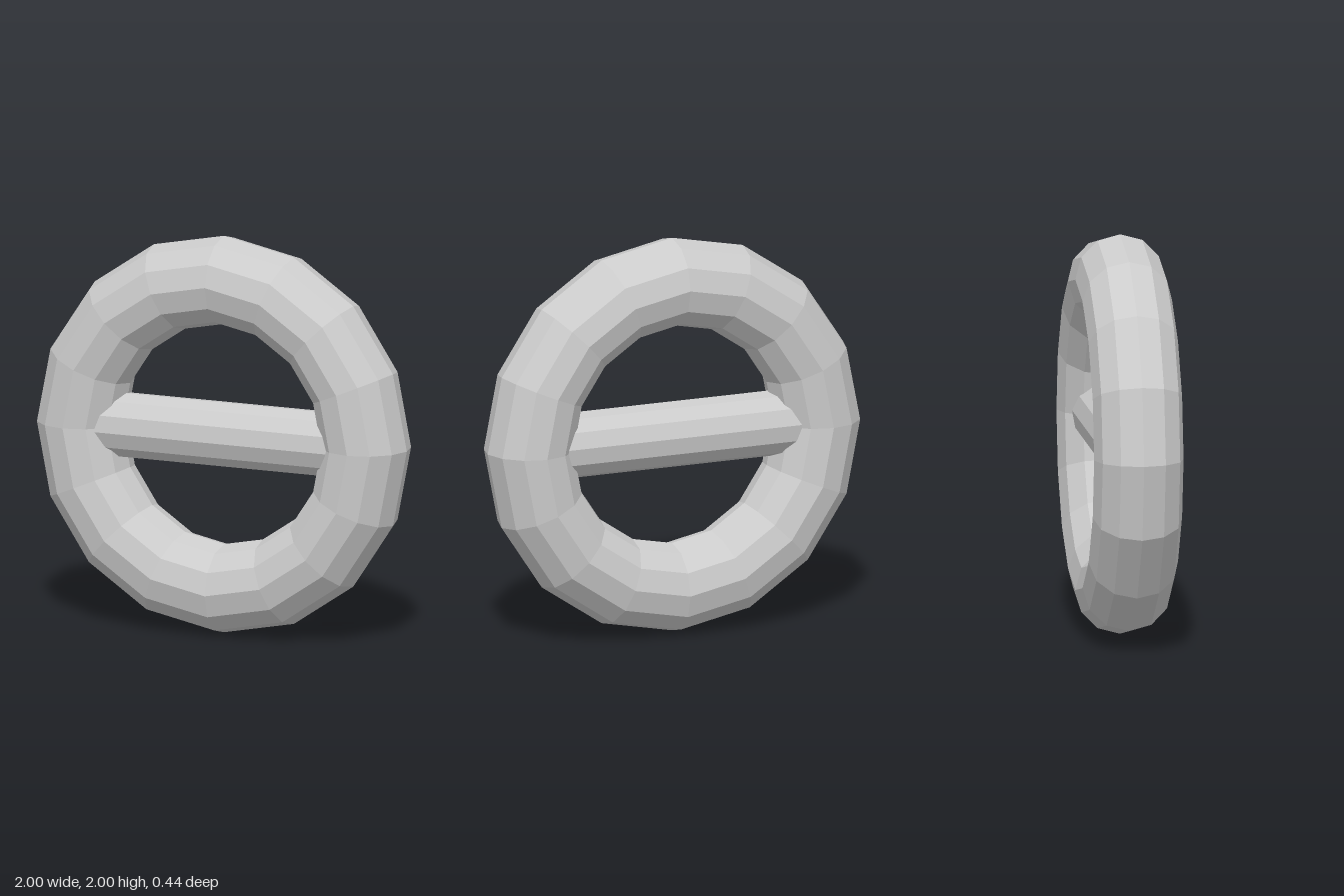
import * as THREE from 'three';

const RING = 0.7775; // ring centre-line radius
const TUBE = 0.2225; // ring tube radius
const BAR = 0.163; // crossbar radius

export function createModel() {
  const group = new THREE.Group();
  const material = new THREE.MeshStandardMaterial({ color: 0xcccccc, flatShading: true });

  // Upright ring
  const ring = new THREE.Mesh(new THREE.TorusGeometry(RING, TUBE, 12, 16), material);
  ring.name = 'ring';
  ring.position.y = 1;
  group.add(ring);

  // Horizontal twelve-sided crossbar, turned slightly about its own axis
  const barGeometry = new THREE.CylinderGeometry(BAR, BAR, 1, 12, 1, true, THREE.MathUtils.degToRad(-6));
  barGeometry.rotateZ(Math.PI / 2);

  // Trim each end to the inner curve of the ring, sunk just below its surface
  const p = barGeometry.attributes.position;
  for (let i = 0; i < p.count; i++) {
    const y = p.getY(i), z = p.getZ(i);
    const inner = RING - Math.sqrt(TUBE * TUBE - z * z);
    const reach = Math.sqrt(inner * inner - y * y) + 0.015;
    p.setX(i, Math.sign(p.getX(i)) * reach);
  }
  barGeometry.computeVertexNormals();
  const bar = new THREE.Mesh(barGeometry, material);
  bar.name = 'crossbar';
  bar.position.y = 1;
  group.add(bar);

  return group;
}
